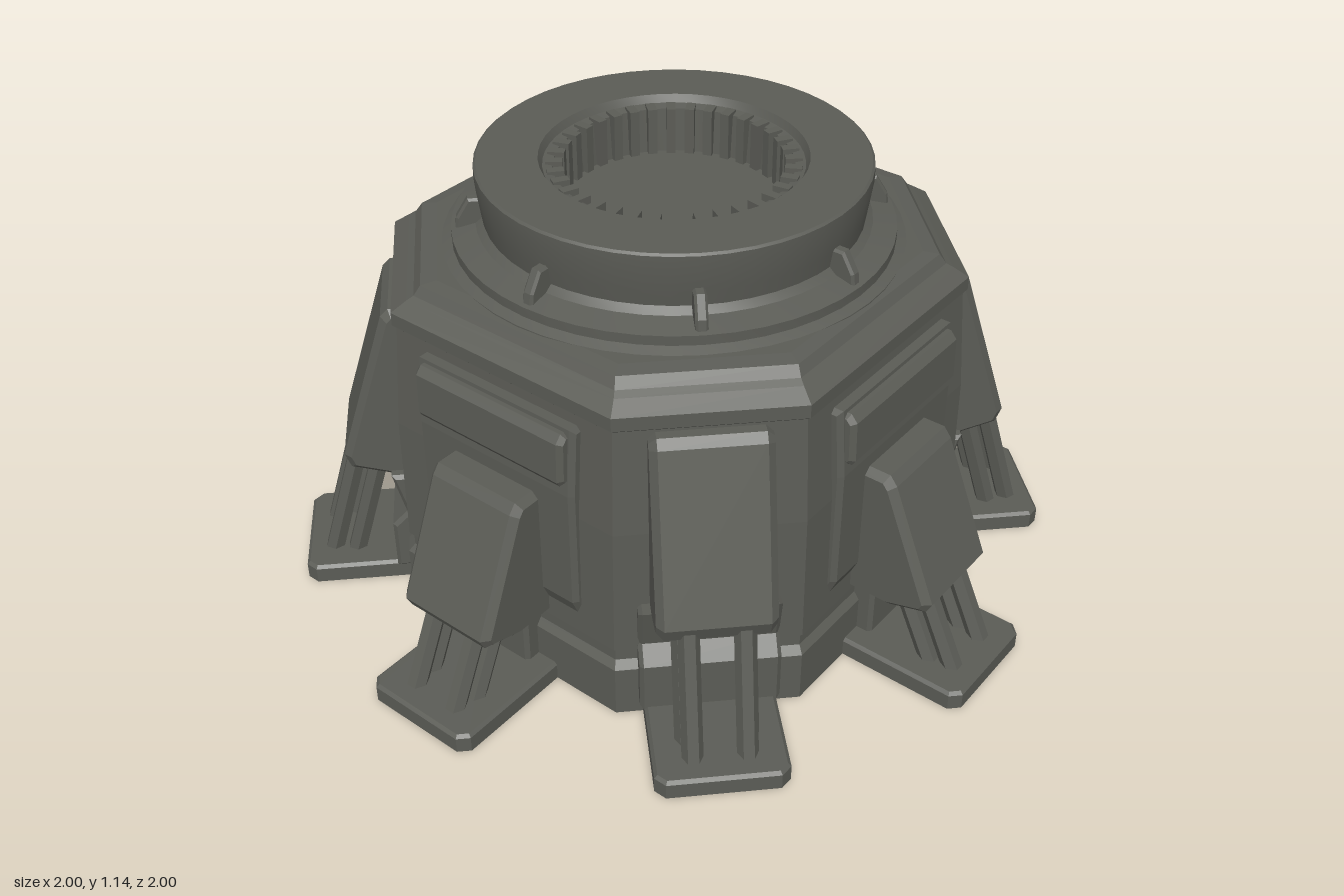
import * as THREE from 'three';
import { toCreasedNormals } from 'three/addons/utils/BufferGeometryUtils.js';

const metal = new THREE.MeshStandardMaterial({ color: 0x5b5c56 });
metal.name = 'dark grey metal';

function add(parent, name, geometry) {
  const mesh = new THREE.Mesh(geometry, metal);
  mesh.name = name;
  parent.add(mesh);
  return mesh;
}

// Stack of octagons, each level is [y, flat distance, half side]
function octagonStack(levels) {
  const ring = ([y, a, h]) => [[h, a], [a, h], [a, -h], [h, -a], [-h, -a], [-a, -h], [-a, h], [-h, a]]
    .map(([x, z]) => [x, y, z]);
  const rings = levels.map(ring);
  const pos = [];
  for (let k = 0; k < rings.length - 1; k++) {
    for (let i = 0; i < 8; i++) {
      const j = (i + 1) % 8;
      const [a, b, c, d] = [rings[k][i], rings[k][j], rings[k + 1][j], rings[k + 1][i]];
      pos.push(...a, ...b, ...c, ...a, ...c, ...d);
    }
  }
  const low = rings[0], top = rings[rings.length - 1];
  for (let i = 1; i < 7; i++) {
    pos.push(...low[0], ...low[i + 1], ...low[i]);
    pos.push(...top[0], ...top[i], ...top[i + 1]);
  }
  const g = new THREE.BufferGeometry();
  g.setAttribute('position', new THREE.Float32BufferAttribute(pos, 3));
  g.computeVertexNormals();
  return g;
}

// Side profile in (distance outward, height), extruded to a centred width
function profileBlock(points, width, bevel = 0.012) {
  const shape = new THREE.Shape(points.map(([r, y]) => new THREE.Vector2(r, y)));
  const g = new THREE.ExtrudeGeometry(shape, {
    depth: width - 2 * bevel, bevelEnabled: bevel > 0, bevelSize: bevel,
    bevelThickness: bevel, bevelOffset: -bevel, bevelSegments: 1,
  });
  return g.translate(0, 0, -width / 2 + bevel);
}

// Square-ish bar between two points
function strut(parent, name, from, to, radius) {
  const a = new THREE.Vector3(...from), b = new THREE.Vector3(...to);
  const g = new THREE.CylinderGeometry(radius, radius, a.distanceTo(b), 6).toNonIndexed();
  g.computeVertexNormals();
  const mesh = add(parent, name, g);
  mesh.position.copy(a).lerp(b, 0.5);
  mesh.quaternion.setFromUnitVectors(new THREE.Vector3(0, 1, 0), b.sub(a).normalize());
}

// Foot plate with clipped outer corners
function footPlate() {
  const w = 0.16, c = 0.025;
  const shape = new THREE.Shape([[0.55, -w], [1 - c, -w], [1, -w + c], [1, w - c], [1 - c, w], [0.55, w]]
    .map(([x, y]) => new THREE.Vector2(x, y)));
  const g = new THREE.ExtrudeGeometry(shape, {
    depth: 0.042, bevelEnabled: true, bevelSize: 0.008, bevelThickness: 0.008, bevelOffset: -0.008, bevelSegments: 1,
  });
  // Flat underside, bevelled top
  const p = g.attributes.position;
  for (let i = 0; i < p.count; i++) p.setZ(i, Math.max(0, p.getZ(i)));
  g.rotateX(-Math.PI / 2);
  g.computeVertexNormals();
  return g;
}

// One support leg, pointing along +x; tall legs sit on the corner faces
function buildLeg(tall) {
  const leg = new THREE.Group();
  leg.name = tall ? 'tallLeg' : 'shortLeg';
  add(leg, 'foot', footPlate());
  const housing = tall
    ? [[0.6, 0.82], [0.715, 0.82], [0.735, 0.8], [0.865, 0.39], [0.85, 0.35], [0.72, 0.31], [0.6, 0.31]]
    : [[0.6, 0.585], [0.74, 0.585], [0.76, 0.56], [0.885, 0.26], [0.87, 0.23], [0.77, 0.2], [0.6, 0.2]];
  add(leg, 'housing', profileBlock(housing, 0.28, 0.018));
  const topY = tall ? 0.38 : 0.25;
  for (const s of [-1, 1]) {
    strut(leg, 'outerStrut', [0.83, topY, s * 0.065], [0.93, 0.04, s * 0.065], 0.026);
    strut(leg, 'innerStrut', [0.77, topY, s * 0.075], [0.87, 0.04, s * 0.075], 0.026);
  }
  // Buttress under the housing
  const buttress = tall
    ? [[0.6, 0.34], [0.75, 0.34], [0.72, 0.22], [0.76, 0.18], [0.76, 0.04], [0.6, 0.04]]
    : [[0.6, 0.22], [0.71, 0.22], [0.71, 0.04], [0.6, 0.04]];
  add(leg, 'buttress', profileBlock(buttress, tall ? 0.34 : 0.2, 0.01));
  return leg;
}

// Raised wall panels behind each short leg
function buildWallPanel() {
  const panel = new THREE.Group();
  panel.name = 'wallPanel';
  add(panel, 'backPlate', profileBlock([[0.6, 0.8], [0.668, 0.8], [0.682, 0.62], [0.682, 0.3], [0.66, 0.25], [0.6, 0.25]], 0.49));
  add(panel, 'upperPlate', profileBlock([[0.6, 0.79], [0.68, 0.79], [0.697, 0.77], [0.7, 0.665], [0.69, 0.65], [0.6, 0.65]], 0.46));
  return panel;
}

export function createModel() {
  const model = new THREE.Group();
  model.name = 'launchBase';

  // Octagonal body with plinth and stepped rim
  add(model, 'plinth', octagonStack([[0, 0.67, 0.35], [0.14, 0.67, 0.35], [0.16, 0.655, 0.34], [0.21, 0.655, 0.34]]));
  add(model, 'body', octagonStack([[0.2, 0.665, 0.345], [0.55, 0.66, 0.345], [0.83, 0.64, 0.335]]));
  add(model, 'rim', octagonStack([[0.82, 0.635, 0.33], [0.835, 0.65, 0.34], [0.87, 0.65, 0.34],
    [0.895, 0.615, 0.32], [0.905, 0.6, 0.31], [0.93, 0.585, 0.3], [0.935, 0.55, 0.28]]));

  // Round turret ring with a sunken well
  const profile = [[0.575, 0.9], [0.575, 0.935], [0.55, 0.945], [0.55, 0.97], [0.49, 0.985], [0.472, 1.0],
    [0.478, 1.04], [0.486, 1.1], [0.486, 1.135], [0.48, 1.14], [0.33, 1.14], [0.32, 1.12],
    [0.295, 1.115], [0.285, 1.0], [0, 1.0]].map(([r, y]) => new THREE.Vector2(r, y));
  add(model, 'turretRing', toCreasedNormals(new THREE.LatheGeometry(profile, 48), 0.35));

  // Ribs lining the well
  const ribs = new THREE.Group();
  ribs.name = 'wellRibs';
  model.add(ribs);
  for (let i = 0; i < 36; i++) {
    const t = (i / 36) * Math.PI * 2;
    const rib = add(ribs, 'rib', new THREE.BoxGeometry(0.042, 0.125, 0.024));
    rib.position.set(Math.cos(t) * 0.291, 1.062, Math.sin(t) * 0.291);
    rib.rotation.y = -t;
  }

  // Eight sides: fin on the ring, leg below, wall panel on the flat faces
  for (let i = 0; i < 8; i++) {
    const side = new THREE.Group();
    side.name = 'side' + (i + 1);
    side.rotation.y = (i * Math.PI) / 4;
    add(side, 'fin', profileBlock([[0.46, 0.96], [0.54, 0.96], [0.535, 1.0], [0.505, 1.05], [0.46, 1.05]], 0.03, 0.006));
    side.add(buildLeg(i % 2 === 1));
    if (i % 2 === 0) side.add(buildWallPanel());
    model.add(side);
  }
  return model;
}
